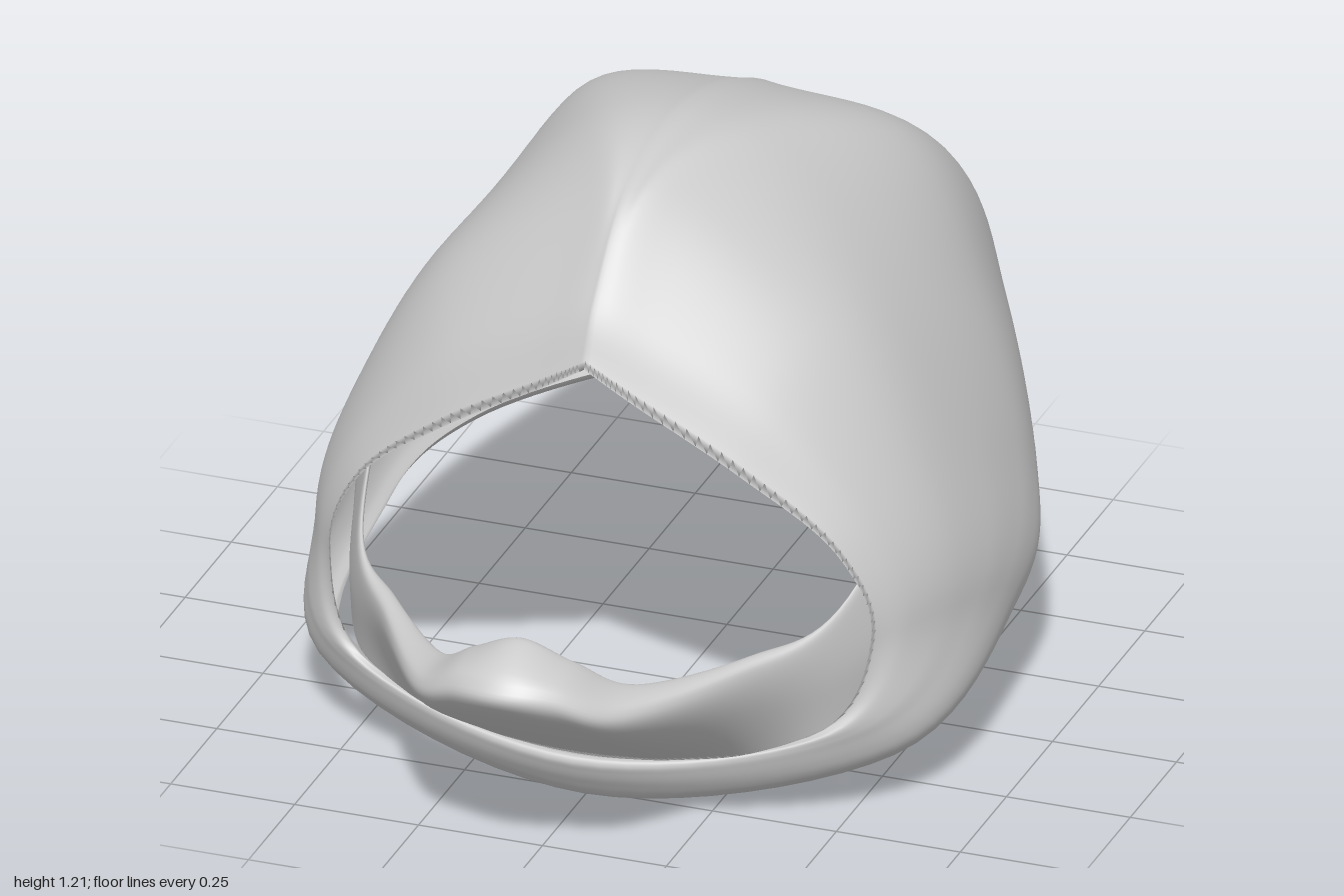
import * as THREE from 'three';
import { mergeVertices } from 'three/addons/utils/BufferGeometryUtils.js';

const material = new THREE.MeshStandardMaterial({ color: 0xcccccc, side: THREE.DoubleSide });
const toPoints = (list) => list.map((p) => new THREE.Vector3(...p));
const mirror = (p) => new THREE.Vector3(-p.x, p.y, p.z);
const spline = (pts) => new THREE.CatmullRomCurve3(pts, false, 'catmullrom', 0.5);

// Rows of points across the +x half (the last section lies on the centre line), mirrored to -x
function symmetricRows(sections, rowCount, colCount) {
  const along = sections.map((s) => spline(toPoints(s)));
  const last = sections.length - 1;
  const rows = [];
  for (let j = 0; j <= rowCount; j++) {
    const pts = along.map((c) => c.getPoint(j / rowCount));
    pts.push(mirror(pts[last - 1])); // keeps the centre line smooth
    const across = spline(pts);
    const half = [];
    for (let i = 0; i <= colCount; i++) {
      half.push(across.getPoint((i / colCount) * (last / (last + 1))));
    }
    half[colCount].x = 0;
    rows.push([...half, ...half.slice(0, -1).reverse().map(mirror)]);
  }
  return rows;
}

// Skin a grid of rows, smooth over merged seams
function skin(rows, name) {
  const n = rows[0].length;
  const index = [];
  for (let j = 0; j < rows.length - 1; j++) {
    for (let i = 0; i < n - 1; i++) {
      const a = j * n + i;
      index.push(a, a + 1, a + n, a + 1, a + n + 1, a + n);
    }
  }
  let geometry = new THREE.BufferGeometry().setFromPoints(rows.flat());
  geometry.setIndex(index);
  geometry = mergeVertices(geometry, 1e-4);
  geometry.computeVertexNormals();
  const mesh = new THREE.Mesh(geometry, material);
  mesh.name = name;
  return mesh;
}

// Helmet ribs, each running from the face opening to the neck opening
const crownRib = [[0, 0.9, 0.525], [0, 1.02, 0.46], [0, 1.17, 0.29], [0, 1.208, -0.02], [0, 1.085, -0.4],
  [0, 0.84, -0.76], [0, 0.6, -0.995], [0, 0.52, -0.855], [0, 0.33, -0.68]];
const crestRib = [[0.1, 0.835, 0.515], [0.08, 0.99, 0.44], [0.09, 1.155, 0.25], [0.2, 1.155, -0.02], [0.32, 1.025, -0.4],
  [0.285, 0.78, -0.74], [0.18, 0.585, -0.925], [0.15, 0.5, -0.8], [0.15, 0.33, -0.665]];
const templeRib = [[0.3, 0.71, 0.49], [0.34, 0.83, 0.4], [0.4, 0.92, 0.22], [0.455, 0.87, 0], [0.49, 0.74, -0.34],
  [0.43, 0.6, -0.61], [0.37, 0.5, -0.665], [0.34, 0.41, -0.63], [0.32, 0.325, -0.59]];
const cheekRib = [[0.48, 0.56, 0.45], [0.53, 0.6, 0.37], [0.58, 0.62, 0.21], [0.605, 0.58, 0.01], [0.61, 0.51, -0.19],
  [0.605, 0.44, -0.29], [0.595, 0.38, -0.335], [0.575, 0.33, -0.355], [0.55, 0.285, -0.36]];
const sideRib = [[0.545, 0.38, 0.435], [0.595, 0.39, 0.37], [0.635, 0.385, 0.27], [0.66, 0.365, 0.15], [0.669, 0.335, 0.05],
  [0.668, 0.3, -0.02], [0.66, 0.27, -0.065], [0.648, 0.243, -0.09], [0.63, 0.22, -0.1]];
const jawRib = [[0.44, 0.185, 0.49], [0.48, 0.195, 0.49], [0.52, 0.195, 0.47], [0.55, 0.185, 0.445], [0.573, 0.167, 0.42],
  [0.583, 0.147, 0.4], [0.58, 0.127, 0.382], [0.567, 0.111, 0.367], [0.55, 0.1, 0.355]];
const chinRib = [[0, 0.11, 0.572], [0, 0.108, 0.582], [0, 0.096, 0.586], [0, 0.08, 0.58], [0, 0.062, 0.571],
  [0, 0.044, 0.559], [0, 0.026, 0.546], [0, 0.01, 0.532], [0, 0, 0.515]];

function helmetShell() {
  const rows = symmetricRows([crownRib, crestRib, templeRib, cheekRib, sideRib, jawRib, chinRib], 64, 60);
  // Lips turned inward at the face and neck openings
  const faceLip = rows[0].map((p) => new THREE.Vector3(p.x * 1.04, 0.45 + (p.y - 0.45) * 1.04, p.z - 0.04));
  const neckLip = rows[rows.length - 1].map((p) => new THREE.Vector3(p.x * 0.985, p.y + 0.015, p.z * 0.985));
  return skin([faceLip, ...rows, neckLip], 'helmetShell');
}

// Mouth guard sections from the inner rear end to the tip: inner edge, outer edge, wall, base
const guardSections = [
  [[0.55, 0.63, 0.1], [0.56, 0.63, 0.1], [0.61, 0.43, 0.1], [0.625, 0.28, 0.1]],
  [[0.48, 0.43, 0.43], [0.49, 0.42, 0.44], [0.51, 0.32, 0.42], [0.5, 0.2, 0.42]],
  [[0.36, 0.385, 0.58], [0.36, 0.375, 0.64], [0.37, 0.3, 0.61], [0.36, 0.14, 0.51]],
  [[0.2, 0.385, 0.77], [0.21, 0.38, 0.87], [0.21, 0.31, 0.84], [0.2, 0.115, 0.54]],
  [[0.1, 0.45, 0.845], [0.1, 0.435, 0.955], [0.1, 0.35, 0.925], [0.1, 0.105, 0.55]],
  [[0, 0.495, 0.87], [0, 0.45, 0.985], [0, 0.365, 0.955], [0, 0.1, 0.55]],
];

function mouthGuard() {
  // Each section starts on its inner wall, just under the inner edge, and closes back there
  const sections = guardSections.map((s) => [s[0].map((v, k) => v + (s[2][k] - s[1][k]) * 0.8), ...s]);
  const rows = symmetricRows(sections, 32, 50);
  rows.push(rows[0].map((p) => p.clone()));
  return skin(rows, 'mouthGuard');
}

export function createModel() {
  const model = new THREE.Group();
  model.name = 'helmet';
  model.add(helmetShell(), mouthGuard());
  return model;
}
